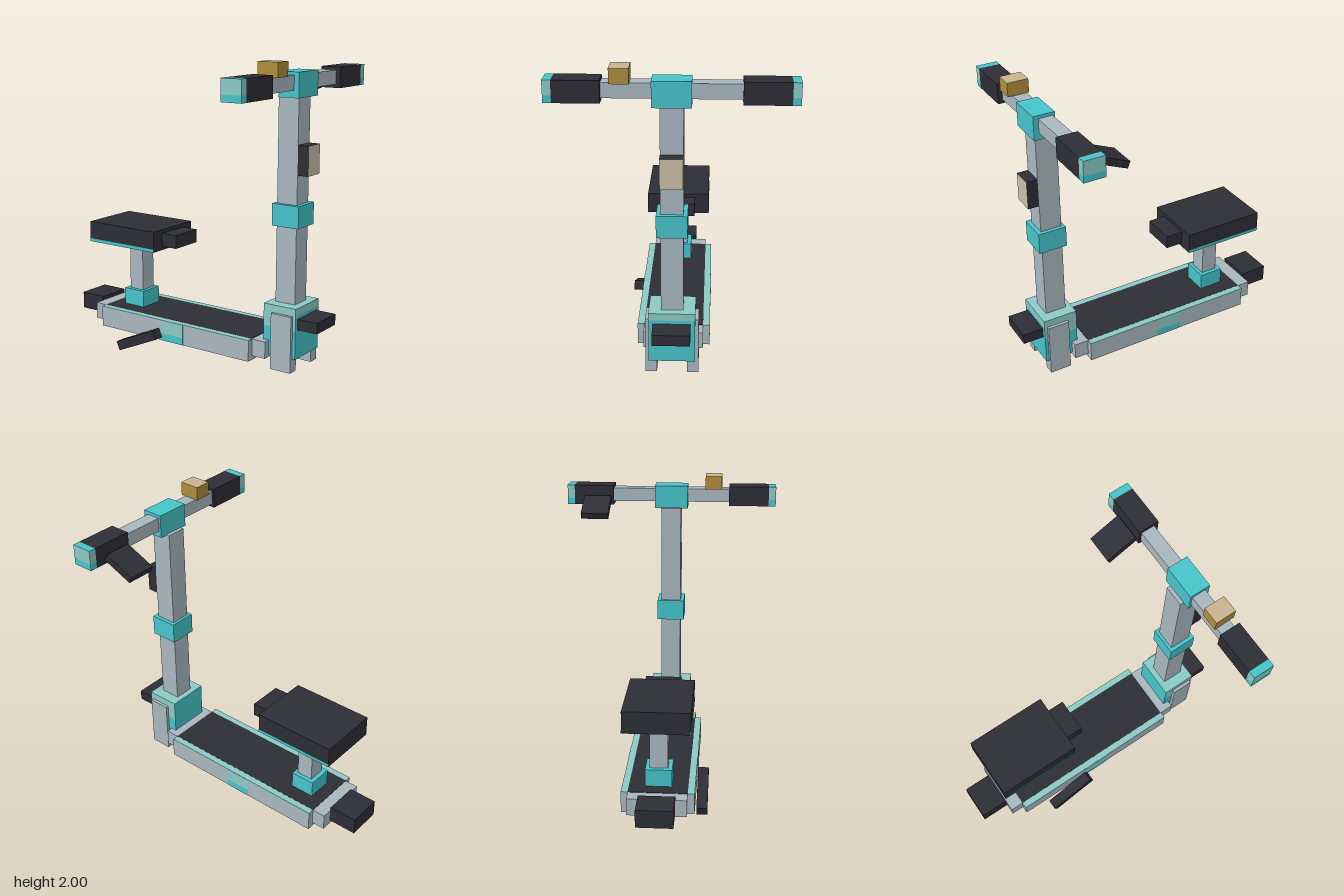
import * as THREE from 'three';

const mat = (name, color) => {
  const m = new THREE.MeshStandardMaterial({ color });
  m.name = name;
  return m;
};

export function createModel() {
  const grey = mat('greyMetal', 0xa8b8c0);
  const dark = mat('darkRubber', 0x2d2d35);
  const teal = mat('teal', 0x46c4cb);
  const pale = mat('paleTeal', 0x8ccac7);
  const gold = mat('gold', 0xb08d3b);
  const tan = mat('tan', 0xc9b48e);
  const cream = mat('cream', 0xc9c0a8);

  const model = new THREE.Group();

  // Box from its extents; faces overrides the material per side (+x -x +y -y +z -z)
  const order = ['px', 'nx', 'py', 'ny', 'pz', 'nz'];
  const box = (name, [x0, x1], [y0, y1], [z0, z1], material, faces) => {
    const m = faces ? order.map((k) => faces[k] || material) : material;
    const mesh = new THREE.Mesh(new THREE.BoxGeometry(x1 - x0, y1 - y0, z1 - z0), m);
    mesh.position.set((x0 + x1) / 2, (y0 + y1) / 2, (z0 + z1) / 2);
    mesh.name = name;
    model.add(mesh);
    return mesh;
  };
  const mid = (h) => [-h, h];
  // Same box on both sides of the model
  const pair = (name, [x0, x1], y, z, material, faces) => {
    box(name + 'Left', [x0, x1], y, z, material, faces);
    box(name + 'Right', [-x1, -x0], y, z, material, faces);
  };

  // Deck, end pieces and grip mat
  box('deckFrame', mid(0.23), [0.116, 0.253], [-0.675, 0.535], grey);
  box('deckEndPieces', mid(0.187), [0.143, 0.254], [-0.765, 0.63], grey);
  box('gripMat', mid(0.187), [0.25, 0.257], [-0.675, 0.532], dark);
  pair('deckTopTrim', [0.187, 0.23], [0.25, 0.256], [-0.675, 0.532], pale);
  pair('deckSidePatchUpper', [0.227, 0.232], [0.165, 0.255], [-0.16, 0.022], pale);
  pair('deckSidePatchLower', [0.227, 0.232], [0.116, 0.165], [-0.16, 0.022], teal);
  box('rearLight', mid(0.115), [0.165, 0.28], [-0.955, -0.765], dark);

  // Steering neck in stacked bands
  const neckZ = [0.59, 0.82];
  box('neckBase', mid(0.142), [0.163, 0.348], neckZ, teal);
  box('neckMiddle', mid(0.142), [0.348, 0.443], neckZ, teal, { px: pale, nx: pale });
  box('neckTop', mid(0.142), [0.443, 0.49], neckZ, teal, { px: pale, nx: pale, py: pale, pz: pale });
  pair('forkLeg', [0.093, 0.163], [0.075, 0.44], [0.655, 0.8], grey);
  box('frontLight', mid(0.115), [0.35, 0.42], [0.82, 0.957], dark);

  // Stem with collar and display
  box('stem', mid(0.068), [0.48, 1.78], [0.63, 0.77], grey);
  box('stemCollar', mid(0.093), [0.98, 1.12], [0.61, 0.797], teal);
  box('display', mid(0.068), [1.305, 1.49], [0.77, 0.843], dark, { pz: cream });

  // Handlebar
  box('handlebar', mid(0.41), [1.82, 1.91], [0.67, 0.762], grey);
  box('handlebarClamp', mid(0.114), [1.775, 1.93], [0.655, 0.795], teal);
  const gripZ = [0.655, 0.793];
  pair('grip', [0.4, 0.673], [1.797, 1.93], gripZ, dark);
  pair('gripCapLower', [0.673, 0.722], [1.797, 1.84], gripZ, teal);
  pair('gripCapUpper', [0.673, 0.722], [1.84, 1.93], gripZ, pale, { py: teal });
  box('bell', [-0.35, -0.237], [1.91, 2], gripZ, gold, { py: tan });

  // Tilted brake lever and kickstand
  const tilt = (name, x, y, z, w, h, d, degrees) => {
    const m = box(name, [x - w / 2, x + w / 2], [y - h / 2, y + h / 2], [z - d / 2, z + d / 2], dark);
    m.rotation.x = THREE.MathUtils.degToRad(degrees);
  };
  tilt('brakeLever', 0.51, 1.798, 0.548, 0.185, 0.045, 0.22, -23);
  tilt('kickstand', -0.27, 0.099, -0.317, 0.07, 0.064, 0.343, -24);

  // Seat
  box('seatPostBase', mid(0.085), [0.25, 0.37], [-0.59, -0.425], teal);
  box('seatPost', mid(0.058), [0.37, 0.71], [-0.56, -0.45], grey);
  box('seatCushion', mid(0.208), [0.7, 0.84], [-0.79, -0.233], dark);
  box('seatNose', mid(0.115), [0.725, 0.815], [-0.235, -0.117], dark);
  pair('seatTrim', [0.205, 0.21], [0.7, 0.722], [-0.79, -0.233], teal);

  return model;
}
